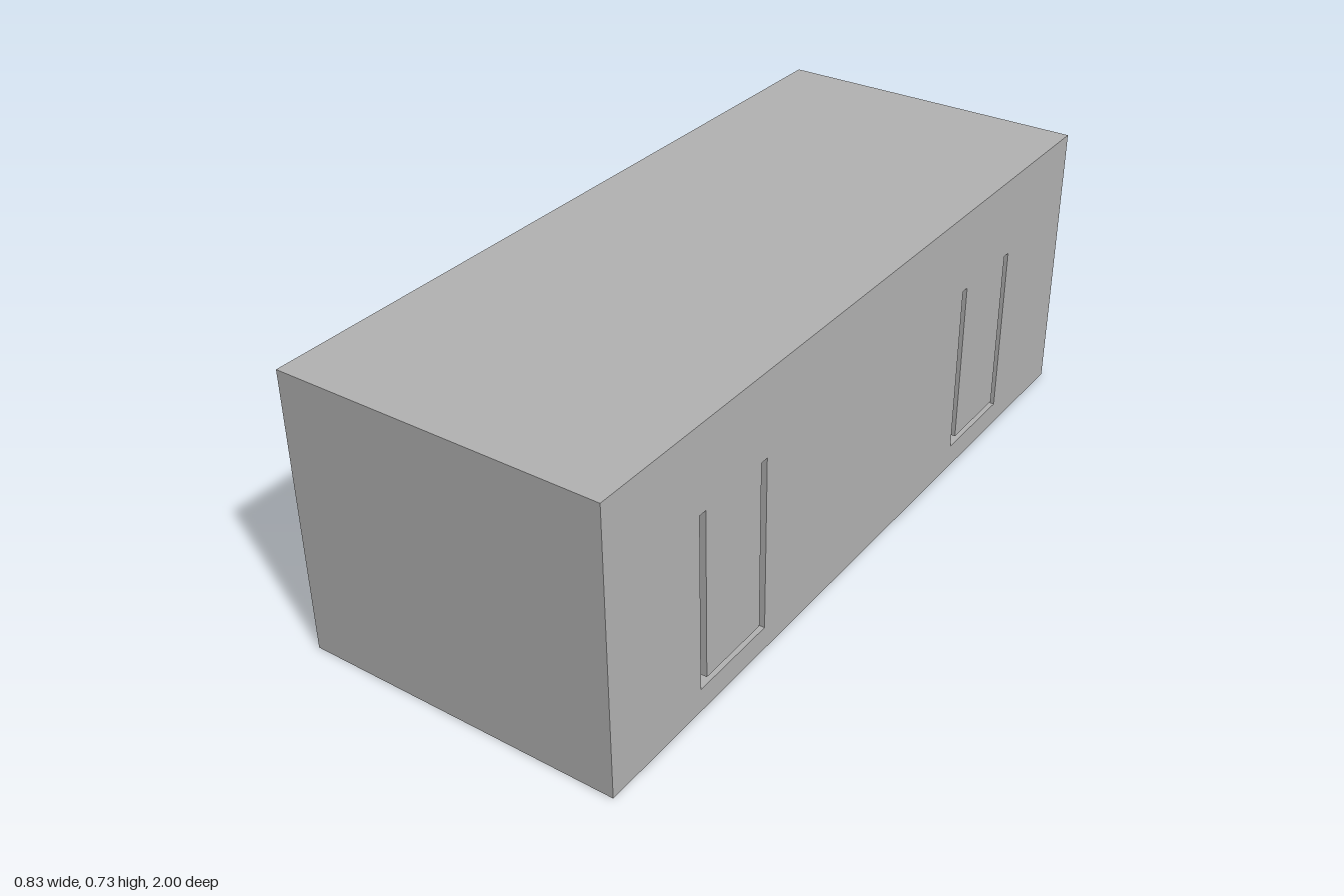
import * as THREE from 'three';

const W = 0.415, L = 1, H = 0.73;            // half width, half length, height
const SIDE = 0.045, END = 0.057, ROOF = 0.045; // wall thicknesses
const SLOT_Z = 0.565;                         // centre of each clip along z

const polygon = (pts, Type = THREE.Shape) => new Type(pts.map(([x, y]) => new THREE.Vector2(x, y)));
const extrude = (shape, depth) => new THREE.ExtrudeGeometry(shape, { depth, bevelEnabled: false });

export function createModel() {
  const group = new THREE.Group();
  const grey = new THREE.MeshStandardMaterial({ color: 0xb2b2b2 });
  grey.name = 'grey';
  const add = (name, geometry, x = 0, y = 0, z = 0) => {
    const mesh = new THREE.Mesh(geometry, grey);
    mesh.name = name;
    mesh.position.set(x, y, z);
    group.add(mesh);
    return mesh;
  };

  const wallH = H - ROOF;
  add('roof', new THREE.BoxGeometry(W * 2, ROOF, L * 2), 0, H - ROOF / 2, 0);

  // Long walls, each with two U-shaped slots that free a springy tongue
  const wall = polygon([[-L, 0], [L, 0], [L, wallH], [-L, wallH]]);
  const out = 0.124, inn = 0.102, low = 0.061, tip = 0.08, top = 0.516;
  for (const c of [-SLOT_Z, SLOT_Z]) {
    wall.holes.push(polygon([
      [c - out, low], [c + out, low], [c + out, top], [c + inn, top],
      [c + inn, tip], [c - inn, tip], [c - inn, top], [c - out, top],
    ], THREE.Path));
  }
  const wallGeometry = extrude(wall, SIDE).rotateY(-Math.PI / 2);
  add('leftWall', wallGeometry, W);
  add('rightWall', wallGeometry, -W + SIDE);

  // End walls with a thicker middle pad on the inside
  const inW = W - SIDE, padW = 0.277, padZ = L - 0.12, endZ = L - END;
  const endGeometry = extrude(polygon([
    [-inW, L], [-inW, endZ], [-padW, endZ], [-padW, padZ],
    [padW, padZ], [padW, endZ], [inW, endZ], [inW, L],
  ]), wallH).rotateX(Math.PI / 2);
  add('frontWall', endGeometry, 0, wallH, 0);
  add('backWall', endGeometry, 0, wallH, 0).rotation.y = Math.PI;

  // Wedge catches on the inner face of every tongue, flat on top
  for (const s of [-1, 1]) {
    const catchGeometry = extrude(
      polygon([[s * inW, tip], [s * inW, 0.2], [s * (inW - 0.033), 0.2]]), inn * 2);
    for (const c of [-SLOT_Z, SLOT_Z]) {
      add(s > 0 ? 'leftCatch' : 'rightCatch', catchGeometry, 0, 0, c - inn);
    }
  }
  return group;
}
